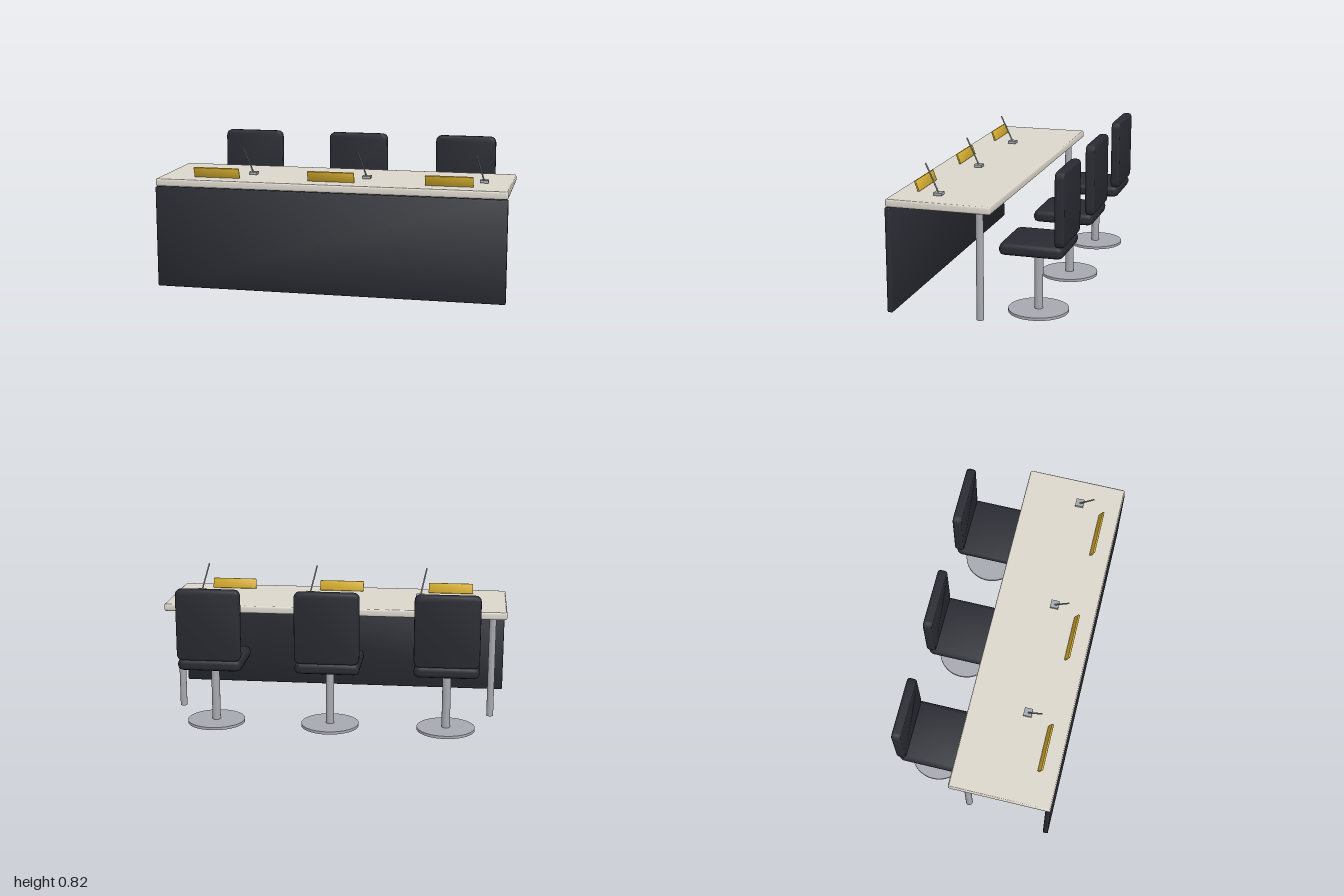
import * as THREE from 'three';
import { mergeVertices, toCreasedNormals } from 'three/addons/utils/BufferGeometryUtils.js';

const mat = (name, color) => Object.assign(new THREE.MeshStandardMaterial({ color }), { name });

// Upright padded slab w x h x d, extruded along z with rounded corners and bevelled rims
function slab(w, h, d, radius, bevelSize, bevelThickness, segments = 1, crease = Math.PI) {
  const x = w / 2 - bevelSize, y = h / 2 - bevelSize, r = radius;
  const s = new THREE.Shape();
  s.moveTo(-x + r, -y).lineTo(x - r, -y).quadraticCurveTo(x, -y, x, -y + r)
    .lineTo(x, y - r).quadraticCurveTo(x, y, x - r, y)
    .lineTo(-x + r, y).quadraticCurveTo(-x, y, -x, y - r)
    .lineTo(-x, -y + r).quadraticCurveTo(-x, -y, -x + r, -y);
  const depth = d - 2 * bevelThickness;
  const g = new THREE.ExtrudeGeometry(s, {
    depth, bevelEnabled: true, bevelSize, bevelThickness, bevelSegments: segments, curveSegments: 4,
  });
  g.translate(0, 0, -depth / 2);
  g.deleteAttribute('uv');
  g.deleteAttribute('normal');
  const smooth = mergeVertices(g, 1e-5);
  smooth.computeVertexNormals();
  return crease < Math.PI ? toCreasedNormals(smooth, crease) : smooth;
}

export function createModel() {
  const model = new THREE.Group();
  model.name = 'conferenceDesk';
  const stone = mat('pale stone', 0xdcd7cc);
  const dark = mat('dark upholstery', 0x2a2b33);
  const metal = mat('grey metal', 0xa6a9b0);
  const gold = mat('gold', 0xd6ae30);

  const add = (parent, name, geometry, material, x, y, z) => {
    const m = new THREE.Mesh(geometry, material);
    m.name = name;
    m.position.set(x, y, z);
    parent.add(m);
    return m;
  };

  // Desk: top, modesty panel and rear legs
  const topGeo = slab(2, 0.58, 0.042, 0.006, 0.006, 0.011, 2).rotateX(-Math.PI / 2);
  add(model, 'deskTop', topGeo, stone, 0, 0.634, 0.175);
  add(model, 'frontPanel', slab(2, 0.582, 0.03, 0.004, 0.004, 0.004, 1, 0.9), dark, 0, 0.319, 0.452);
  for (const side of [-1, 1]) {
    add(model, side < 0 ? 'rightLeg' : 'leftLeg',
      new THREE.CylinderGeometry(0.02, 0.02, 0.602, 24), metal, side * 0.92, 0.312, -0.031);
  }

  // Shared seat parts
  const seatGeo = slab(0.365, 0.352, 0.065, 0.012, 0.024, 0.025, 2, 1.0).rotateX(-Math.PI / 2);
  const backGeo = slab(0.365, 0.41, 0.052, 0.028, 0.01, 0.016, 2, 1.0);
  const poleGeo = new THREE.CylinderGeometry(0.024, 0.024, 0.338, 24);
  const baseGeo = new THREE.CylinderGeometry(0.166, 0.166, 0.016, 40);
  const plateGeo = slab(0.268, 0.062, 0.012, 0.003, 0.002, 0.002, 1, 0.9);
  const micBaseGeo = new THREE.BoxGeometry(0.047, 0.015, 0.047);

  // Microphone stem, leaning forward and inward
  const from = new THREE.Vector3(0.178, 0.668, 0.219);
  const to = new THREE.Vector3(0.146, 0.816, 0.302);
  const stemGeo = new THREE.TubeGeometry(new THREE.LineCurve3(from, to), 1, 0.0045, 8);

  // Three places, each with chair, name plate and microphone
  for (const x of [-0.667, 0, 0.667]) {
    const place = new THREE.Group();
    place.name = 'place';
    place.position.x = x;
    model.add(place);

    const chair = new THREE.Group();
    chair.name = 'chair';
    place.add(chair);
    add(chair, 'chairBase', baseGeo, metal, 0, 0.009, -0.281);
    add(chair, 'chairPole', poleGeo, metal, 0, 0.185, -0.281);
    add(chair, 'seat', seatGeo, dark, 0, 0.385, -0.282);
    add(chair, 'backrest', backGeo, dark, 0, 0.62, -0.439);

    add(place, 'namePlate', plateGeo, gold, 0, 0.684, 0.361).rotation.x = 0.34;

    const mic = new THREE.Group();
    mic.name = 'microphone';
    place.add(mic);
    add(mic, 'microphoneBase', micBaseGeo, metal, 0.18, 0.667, 0.219);
    add(mic, 'microphoneStem', stemGeo, metal, 0, 0, 0);
    // Stem cap
    add(mic, 'microphoneTip', new THREE.SphereGeometry(0.0045, 8, 6), metal, to.x, to.y, to.z);
  }
  return model;
}
